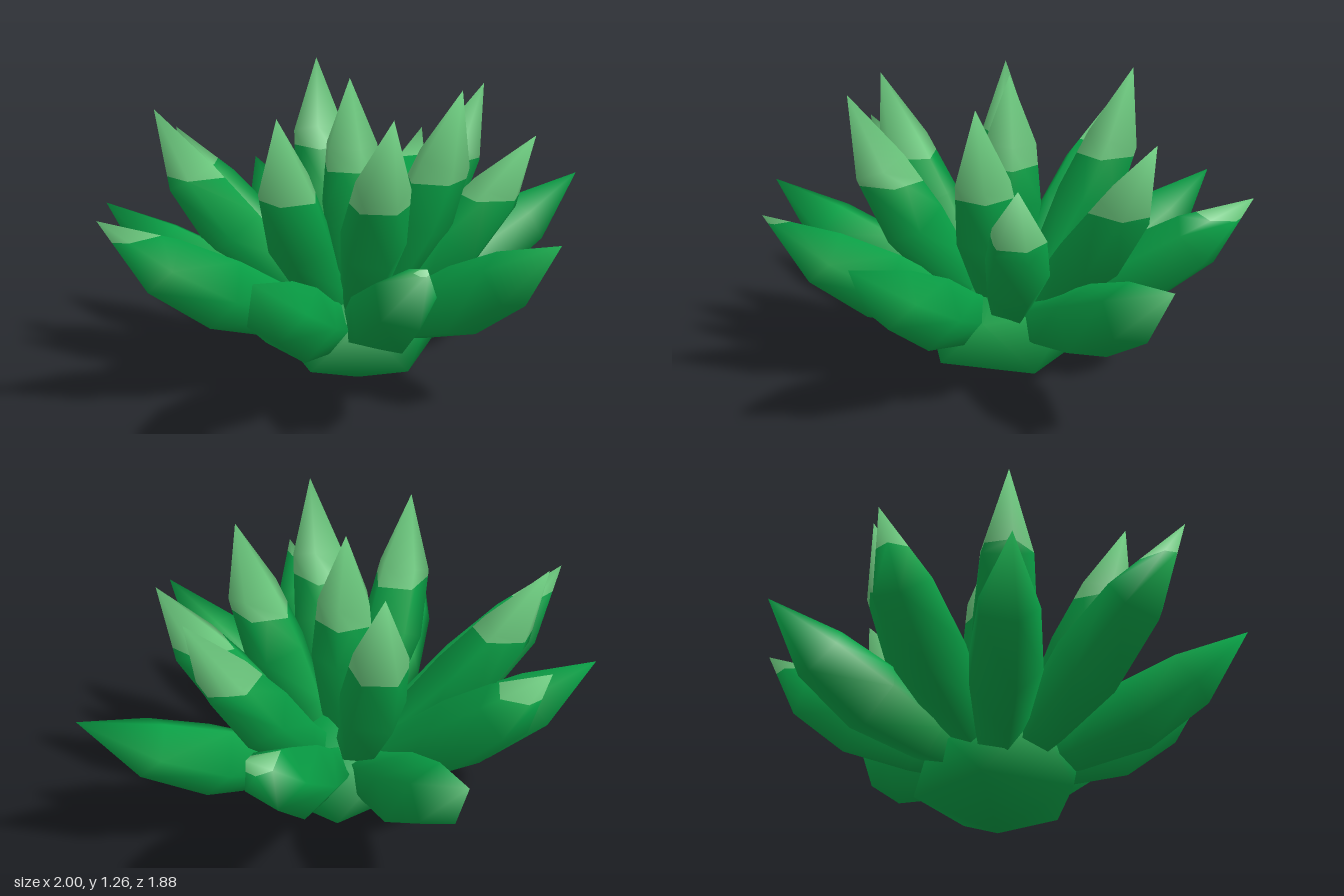
import * as THREE from 'three';
import { mergeVertices } from 'three/addons/utils/BufferGeometryUtils.js';

const SIDES = 5;
// Tip of every leaf: x, height, z, then the height where a pale tip begins
const OUTER = [
  [-0.53, 0.74, -0.87], [-0.02, 0.95, -0.94, 0.82], [0.48, 0.72, -0.91], [0.95, 0.85, -0.30, 0.76],
  [1.0, 0.74, 0.47], [-0.04, 0.76, 0.94], [-0.62, 0.79, 0.73, 0.755], [-0.97, 0.74, 0.25],
  [-1.0, 0.85, -0.45, 0.76],
];
const INNER = [
  [0.75, 1.14, 0.14, 0.84], [0.43, 1.03, 0.57, 0.78], [-0.42, 1.13, -0.69, 0.86], [0.34, 1.25, -0.45, 0.9],
  [0.01, 1.26, -0.04, 0.9], [-0.56, 1.21, 0.04, 0.88], [-0.41, 1.23, 0.45, 0.87], [0.14, 1.24, 0.40, 0.88],
];
// Leaf thickness along its length: position, radius
const PROFILE = [[0, 0.07], [0.24, 0.11], [0.48, 0.15], [0.73, 0.122], [1, 0]];

// Five-sided spindle swept along a path that curves upward
function leafGeometry([x, y, z], thickness) {
  const reach = Math.hypot(x, z), rx = x / reach, rz = z / reach;
  const at = (r, h, shift) => new THREE.Vector3(rx * r, h, rz * r - shift);
  const r0 = Math.min(0.05, reach * 0.1), y0 = 0.26;
  const len = Math.hypot(reach - r0, y - y0);
  const curl = Math.min(1, reach / 0.5);
  const bend = 0.145 * curl / len;
  const path = new THREE.QuadraticBezierCurve3(
    at(r0, y0, 0.025),
    at((r0 + reach) / 2 + (y - y0) * bend, (y0 + y) / 2 - (reach - r0) * bend, 0.045 * curl),
    at(reach, y, 0));
  const side = new THREE.Vector3(rz, 0, -rx);
  const pos = [], index = [];
  PROFILE.forEach(([t, r], i) => {
    const c = path.getPoint(t);
    const up = path.getTangent(t).cross(side).normalize();
    const lo = (i - 1) * SIDES, hi = i * SIDES;
    if (r === 0) pos.push(c.x, c.y, c.z);
    for (let j = 0; j < SIDES; j++) {
      const k = (j + 1) % SIDES;
      if (r === 0) {
        index.push(lo + j, lo + k, hi);
        continue;
      }
      const a = (j / SIDES) * Math.PI * 2, rad = r * thickness;
      const p = c.clone().addScaledVector(side, rad * Math.cos(a)).addScaledVector(up, rad * Math.sin(a));
      pos.push(p.x, p.y, p.z);
      if (i > 0) index.push(lo + j, lo + k, hi + j, lo + k, hi + k, hi + j);
    }
  });
  const g = new THREE.BufferGeometry();
  g.setAttribute('position', new THREE.Float32BufferAttribute(pos, 3));
  g.setIndex(index);
  g.computeVertexNormals();
  return g;
}

// Keep the part of a geometry above (sign 1) or below (sign -1) a height
function clipAtHeight(geometry, height, sign) {
  const g = geometry.toNonIndexed();
  const P = g.attributes.position, N = g.attributes.normal;
  const pos = [], nor = [];
  for (let i = 0; i < P.count; i += 3) {
    const tri = [0, 1, 2].map((k) => ({
      p: new THREE.Vector3().fromBufferAttribute(P, i + k),
      n: new THREE.Vector3().fromBufferAttribute(N, i + k),
    }));
    const poly = [];
    tri.forEach((a, k) => {
      const b = tri[(k + 1) % 3];
      const da = (a.p.y - height) * sign, db = (b.p.y - height) * sign;
      if (da >= 0) poly.push(a);
      if (da * db < 0) {
        const t = da / (da - db);
        poly.push({ p: a.p.clone().lerp(b.p, t), n: a.n.clone().lerp(b.n, t).normalize() });
      }
    });
    for (let k = 1; k + 1 < poly.length; k++) {
      for (const v of [poly[0], poly[k], poly[k + 1]]) {
        pos.push(...v.p.toArray());
        nor.push(...v.n.toArray());
      }
    }
  }
  const out = new THREE.BufferGeometry();
  out.setAttribute('position', new THREE.Float32BufferAttribute(pos, 3));
  out.setAttribute('normal', new THREE.Float32BufferAttribute(nor, 3));
  return out;
}

export function createModel() {
  const model = new THREE.Group();
  model.name = 'succulent';
  const green = new THREE.MeshStandardMaterial({ color: 0x089f45 });
  green.name = 'leaf green';
  const pale = new THREE.MeshStandardMaterial({ color: 0x6ac67c });
  pale.name = 'pale tip green';

  const add = (parent, name, geometry, material) => {
    const mesh = new THREE.Mesh(geometry, material);
    mesh.name = name;
    parent.add(mesh);
  };

  // Core: squashed icosahedron standing on one point
  const radius = 0.368, squash = 0.66;
  let core = new THREE.IcosahedronGeometry(radius, 0);
  core.deleteAttribute('normal');
  core.deleteAttribute('uv');
  core = mergeVertices(core, 1e-4);
  core.rotateZ(-Math.atan(2 / (1 + Math.sqrt(5))));
  core.scale(1, squash, 1);
  core.translate(0.01, radius * squash, 0);
  core.computeVertexNormals();
  add(model, 'core', core, green);

  // Leaves, the higher ones with pale tips
  const addLeaf = (name, tip, thickness) => {
    const leaf = new THREE.Group();
    leaf.name = name;
    const g = leafGeometry(tip, thickness);
    const cut = tip[3];
    if (cut) {
      add(leaf, 'leafBlade', clipAtHeight(g, cut, -1), green);
      add(leaf, 'leafTip', clipAtHeight(g, cut, 1), pale);
    } else {
      add(leaf, 'leafBlade', g, green);
    }
    model.add(leaf);
  };
  OUTER.forEach((tip, i) => addLeaf('outerLeaf' + (i + 1), tip, 1));
  INNER.forEach((tip, i) => addLeaf('innerLeaf' + (i + 1), tip, 0.9));
  return model;
}
